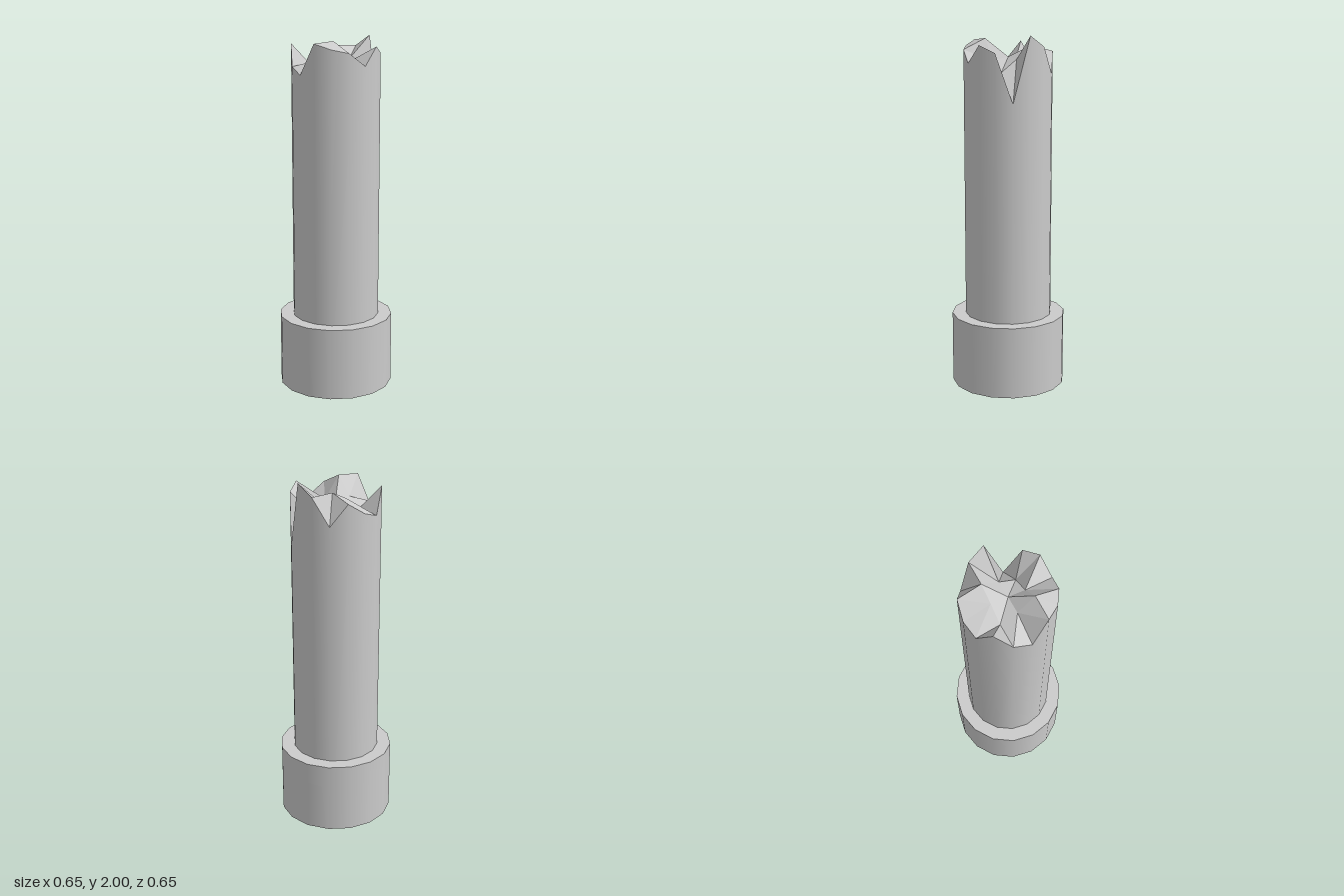
import * as THREE from 'three';

const SHAFT_R = 0.248, BASE_R = 0.326, BASE_H = 0.41, SIDES = 16;
const INNER = 0.095; // spacing of the points inside the broken top

// Heights of the broken top on a 5 x 5 grid: rows run back to front, columns -x to +x
const HEIGHTS = [
  [1.96, 1.82, 1.85, 1.91, 1.79],
  [1.84, 1.84, 1.90, 1.945, 1.94],
  [1.80, 1.88, 1.88, 1.87, 2.00],
  [1.97, 1.98, 1.86, 1.80, 1.64],
  [1.94, 1.92, 1.85, 1.95, 1.91],
];

// Grid point; the outer ring of the grid lies on the shaft's rim
function topPoint(row, col) {
  const i = col - 2, j = row - 2;
  let x = i * INNER, z = j * INNER;
  if (Math.max(Math.abs(i), Math.abs(j)) === 2) {
    const step = Math.PI / 8;
    if (Math.abs(i) === 2) {
      x = Math.sign(i) * SHAFT_R * Math.cos(j * step);
      z = SHAFT_R * Math.sin(j * step);
    } else {
      x = SHAFT_R * Math.sin(i * step);
      z = Math.sign(j) * SHAFT_R * Math.cos(i * step);
    }
  }
  return [x, HEIGHTS[row][col], z];
}

// Jagged top, flat shaded
function brokenTopGeometry() {
  const pos = [];
  for (let r = 0; r < 4; r++) {
    for (let c = 0; c < 4; c++) {
      const a = topPoint(r, c), b = topPoint(r + 1, c);
      const d = topPoint(r + 1, c + 1), e = topPoint(r, c + 1);
      // corner cells split from the rim corner inwards, the rest alike
      if ((r < 2) === (c < 2)) pos.push(...a, ...b, ...d, ...a, ...d, ...e);
      else pos.push(...a, ...b, ...e, ...b, ...d, ...e);
    }
  }
  const geo = new THREE.BufferGeometry();
  geo.setAttribute('position', new THREE.Float32BufferAttribute(pos, 3));
  geo.computeVertexNormals();
  return geo;
}

// Open cylinder whose upper ring follows the broken rim
function shaftGeometry() {
  const geo = new THREE.CylinderGeometry(SHAFT_R, SHAFT_R, 1, SIDES, 1, true);
  const p = geo.attributes.position;
  const index = (v) => THREE.MathUtils.clamp(Math.round((v / SHAFT_R) * 2.6), -2, 2) + 2;
  for (let i = 0; i < p.count; i++) {
    const top = p.getY(i) > 0;
    p.setY(i, top ? HEIGHTS[index(p.getZ(i))][index(p.getX(i))] : BASE_H);
  }
  return geo;
}

export function createModel() {
  const group = new THREE.Group();
  group.name = 'brokenColumn';
  const material = new THREE.MeshStandardMaterial({ color: 0xcccccc });
  const add = (name, geometry) => {
    const mesh = new THREE.Mesh(geometry, material);
    mesh.name = name;
    group.add(mesh);
    return mesh;
  };

  const base = add('base', new THREE.CylinderGeometry(BASE_R, BASE_R, BASE_H, SIDES));
  base.position.y = BASE_H / 2;
  add('shaft', shaftGeometry());
  add('brokenTop', brokenTopGeometry());
  return group;
}
